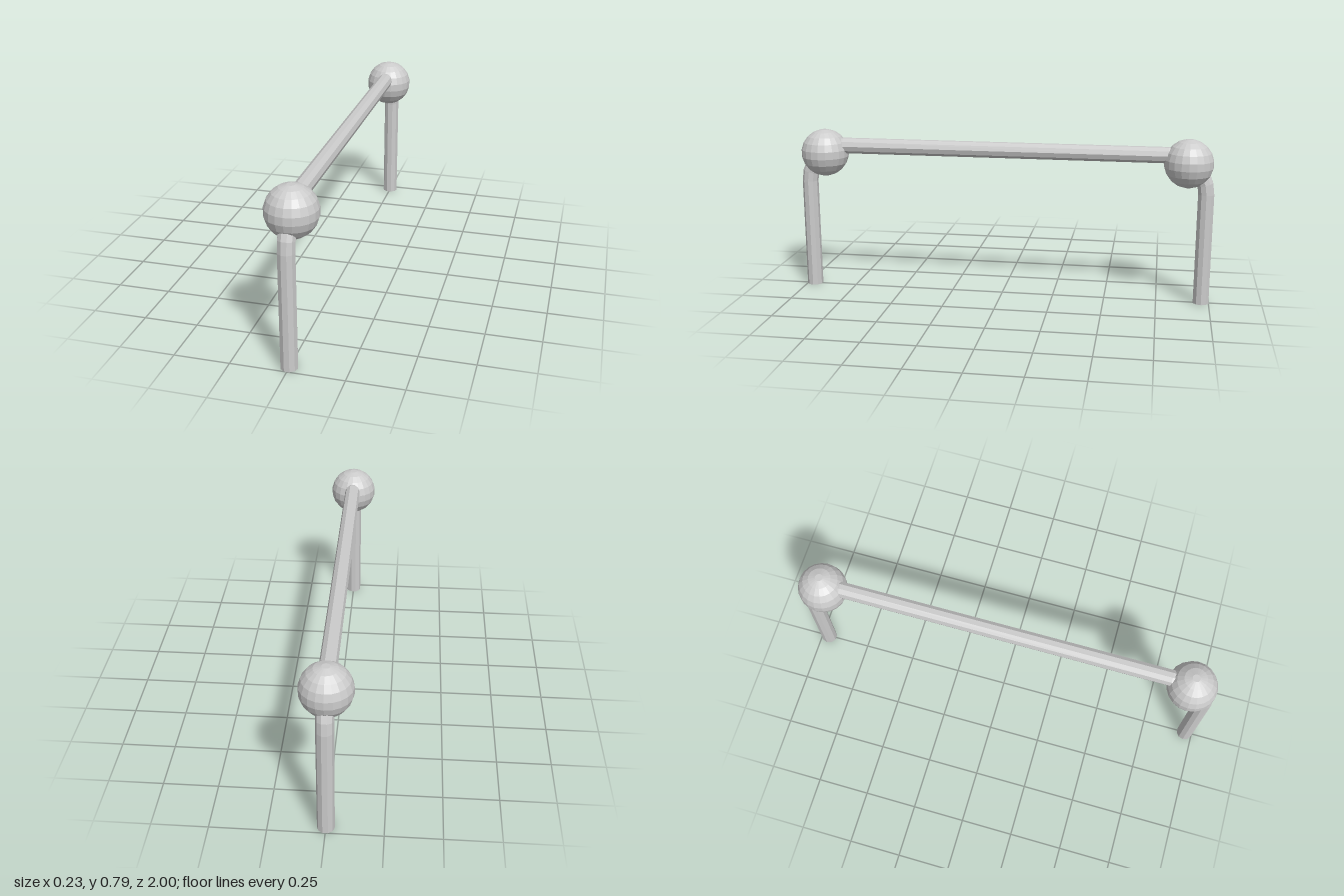
import * as THREE from 'three';

const SIDES = 10, PIPE_R = 0.0385;
const LEG_Z = 1 - PIPE_R * Math.cos(Math.PI / SIDES); // flat facet touches z = 1
const BAR_Y = 0.714, BEND_R = 0.18, BEND_STEPS = 6;

// Sweeps a ten-sided section along stations { y, z, a, r }, where a turns the section about x
function sweepPipe(stations) {
  const pos = [], idx = [];
  for (const { y, z, a, r } of stations) {
    for (let j = 0; j < SIDES; j++) {
      const t = (j / SIDES) * Math.PI * 2;
      const n = r * Math.sin(t);
      pos.push(r * Math.cos(t), y + n * Math.sin(a), z + n * Math.cos(a));
    }
  }
  for (let i = 0; i < stations.length - 1; i++) {
    for (let j = 0; j < SIDES; j++) {
      const k = (j + 1) % SIDES;
      const p = i * SIDES + j, q = i * SIDES + k;
      if (stations[i].r > 0) idx.push(p, p + SIDES, q);
      if (stations[i + 1].r > 0) idx.push(q, p + SIDES, q + SIDES);
    }
  }
  const geo = new THREE.BufferGeometry();
  geo.setAttribute('position', new THREE.Float32BufferAttribute(pos, 3));
  geo.setIndex(idx);
  geo.computeVertexNormals();
  return geo;
}

// Faceted ball of evenly spaced rings with small flat caps
function ballGeometry(radius, sides) {
  const rings = sides / 2, profile = [];
  for (let i = 0; i < rings; i++) {
    const phi = ((i + 0.5) / rings) * Math.PI;
    profile.push(new THREE.Vector2(radius * Math.sin(phi), -radius * Math.cos(phi)));
  }
  profile.unshift(new THREE.Vector2(0, profile[0].y));
  profile.push(new THREE.Vector2(0, -profile[0].y));
  return new THREE.LatheGeometry(profile, sides);
}

export function createModel() {
  const group = new THREE.Group();
  const material = new THREE.MeshStandardMaterial({ color: 0xcccccc, flatShading: true });

  // Bent pipe: front leg, bend, top bar, bend, back leg
  const half = [
    { y: 0, z: LEG_Z, a: 0, r: 0 },
    { y: 0, z: LEG_Z, a: 0, r: PIPE_R },
  ];
  for (let i = 0; i <= BEND_STEPS; i++) {
    const a = (i / BEND_STEPS) * Math.PI / 2;
    half.push({
      y: BAR_Y - BEND_R + BEND_R * Math.sin(a),
      z: LEG_Z - BEND_R + BEND_R * Math.cos(a),
      a, r: PIPE_R,
    });
  }
  const mirrored = half.map((s) => ({ ...s, z: -s.z, a: Math.PI - s.a })).reverse();
  const pipe = new THREE.Mesh(sweepPipe([...half, ...mirrored]), material);
  pipe.name = 'bentPipe';
  group.add(pipe);

  // Balls covering the two bends
  const ball = ballGeometry(0.115, 20);
  for (const [name, z] of [['frontBall', 0.881], ['backBall', -0.878]]) {
    const mesh = new THREE.Mesh(ball, material);
    mesh.name = name;
    mesh.position.set(0, 0.677, z);
    group.add(mesh);
  }
  return group;
}
